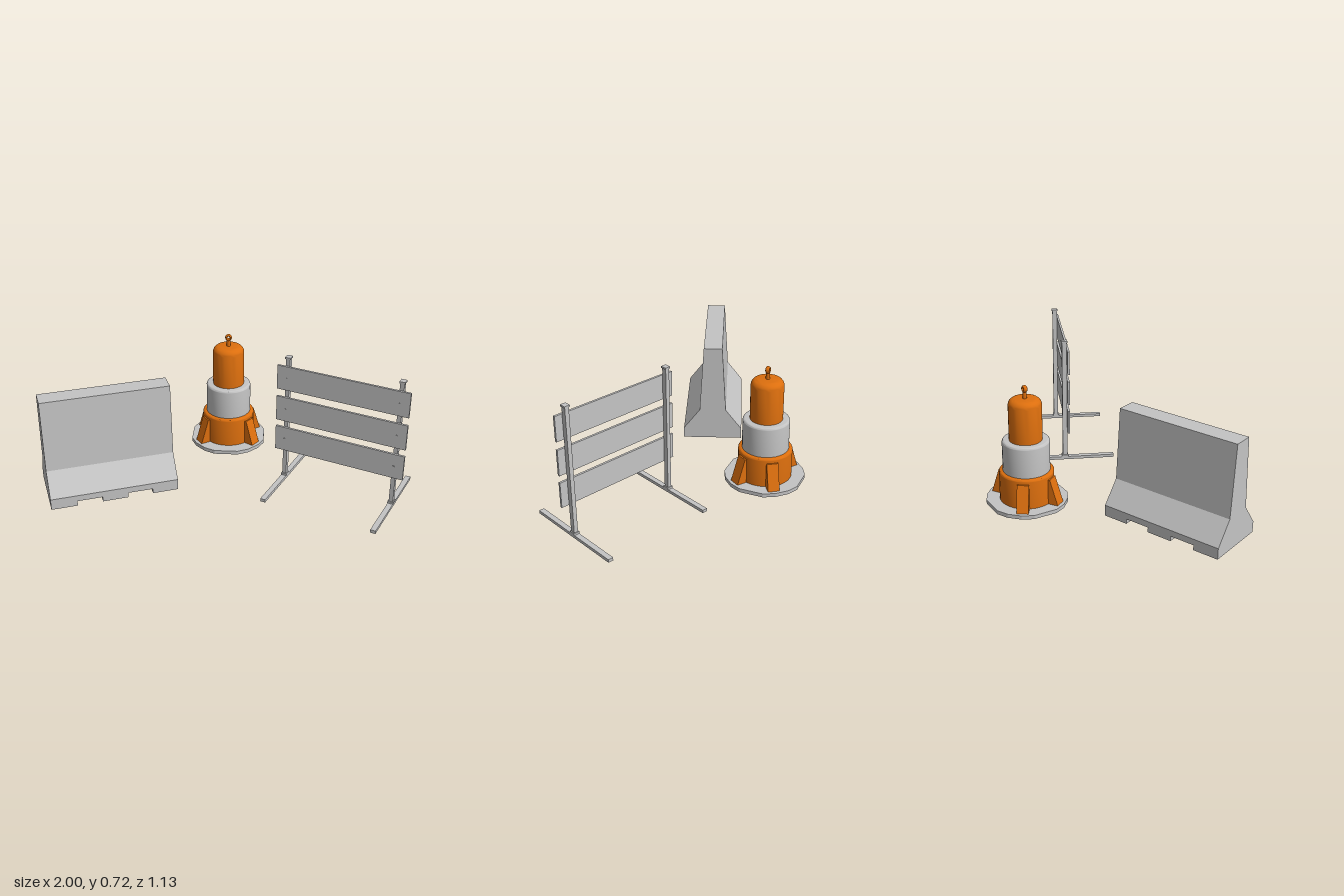
import * as THREE from 'three';
import { toCreasedNormals } from 'three/addons/utils/BufferGeometryUtils.js';

const grey = new THREE.MeshStandardMaterial({ color: 0xc4c4c4 });
grey.name = 'concreteGrey';
const orange = new THREE.MeshStandardMaterial({ color: 0xdd6f0e });
orange.name = 'safetyOrange';

function add(parent, name, geometry, material, x = 0, y = 0, z = 0) {
  const mesh = new THREE.Mesh(geometry, material);
  mesh.name = name;
  mesh.position.set(x, y, z);
  parent.add(mesh);
  return mesh;
}

// Box standing on height y0, reaching y1
function block(parent, name, w, y0, y1, d, x, z, material = grey) {
  return add(parent, name, new THREE.BoxGeometry(w, y1 - y0, d), material, x, (y0 + y1) / 2, z);
}

// Extrude an outline, centred along its depth
function slab(points, depth) {
  const shape = new THREE.Shape(points.map(([x, y]) => new THREE.Vector2(x, y)));
  const g = new THREE.ExtrudeGeometry(shape, { depth, bevelEnabled: false });
  g.translate(0, 0, -depth / 2);
  return g;
}

// Turned drum with a rounded upper rim
function drum(r, y0, y1, round) {
  const pts = [new THREE.Vector2(0, y0), new THREE.Vector2(r, y0)];
  const steps = 6;
  for (let i = 0; i <= steps; i++) {
    const a = (i / steps) * Math.PI / 2;
    pts.push(new THREE.Vector2(r - round + round * Math.cos(a), y1 - round + round * Math.sin(a)));
  }
  pts.push(new THREE.Vector2(0, y1));
  return toCreasedNormals(new THREE.LatheGeometry(pts, 32), 0.6);
}

function concreteBarrier() {
  const g = new THREE.Group();
  g.name = 'concreteBarrier';
  const length = 0.674, notchTop = 0.027;
  const half = [[0.166, notchTop], [0.166, 0.06], [0.075, 0.178], [0.052, 0.562]];
  const outline = [...half, ...half.map(([x, y]) => [-x, y]).reverse()];
  add(g, 'barrierWall', slab(outline, length), grey).rotation.y = Math.PI / 2;
  // Three feet leave two drainage slots
  for (const [a, b] of [[-0.337, -0.2], [-0.068, 0.068], [0.2, 0.337]])
    block(g, 'barrierFoot', b - a, 0, notchTop, 0.332, (a + b) / 2, 0);
  g.position.set(-0.625, 0, 0.185);
  g.rotation.y = 0.364;
  return g;
}

function trafficDrum() {
  const g = new THREE.Group();
  g.name = 'trafficDrum';
  // Base plate: a square-ish rounded polygon
  const plate = [];
  for (let q = 0; q < 4; q++)
    for (const deg of [17.5, 35, 55, 72.5]) {
      const a = THREE.MathUtils.degToRad(deg + q * 90);
      plate.push([0.217 * Math.cos(a), 0.217 * Math.sin(a)]);
    }
  add(g, 'basePlate', slab(plate, 0.021), grey, 0, 0.0145, 0).rotation.x = -Math.PI / 2;

  add(g, 'lowerDrum', drum(0.145, 0.025, 0.19, 0.012), orange);
  add(g, 'middleDrum', drum(0.125, 0.19, 0.36, 0.012), grey);
  add(g, 'upperDrum', drum(0.0875, 0.36, 0.586, 0.036), orange);

  // Four sloping buttresses
  const fin = slab([[0.1, 0.025], [0.197, 0.025], [0.152, 0.165], [0.1, 0.165]], 0.062);
  for (const a of [0.6, Math.PI - 0.6, Math.PI + 0.6, -0.6])
    add(g, 'buttress', fin, orange).rotation.y = a;

  // Lifting eye
  add(g, 'eyeStem', new THREE.CylinderGeometry(0.011, 0.011, 0.037, 16), orange, 0, 0.602, 0);
  add(g, 'liftingEye', new THREE.TorusGeometry(0.0125, 0.0065, 10, 24), orange, 0, 0.636, 0).scale.z = 1.7;
  g.position.set(-0.02, 0, -0.36);
  return g;
}

function boardBarricade() {
  const g = new THREE.Group();
  g.name = 'boardBarricade';
  const boards = [[0.182, 0.32], [0.358, 0.497], [0.54, 0.674]];
  for (const [y0, y1] of boards) block(g, 'board', 0.708, y0, y1, 0.012, 0, 0.0195);
  for (const x of [-0.302, 0.302]) {
    block(g, 'foot', 0.028, 0.003, 0.02, 0.566, x, 0);
    block(g, 'postSocket', 0.032, 0.02, 0.031, 0.036, x, 0);
    block(g, 'post', 0.022, 0.02, 0.714, 0.026, x, 0);
    block(g, 'postCap', 0.03, 0.713, 0.722, 0.034, x, 0);
    for (const [y0, y1] of boards) {
      const bolt = new THREE.CylinderGeometry(0.005, 0.005, 0.004, 10);
      add(g, 'bolt', bolt, grey, x, (y0 + y1) / 2, 0.0265).rotation.x = Math.PI / 2;
    }
  }
  g.position.set(0.594, 0, 0.178);
  g.rotation.y = -0.411;
  return g;
}

export function createModel() {
  const model = new THREE.Group();
  model.name = 'roadBarriers';
  model.add(concreteBarrier(), trafficDrum(), boardBarricade());
  return model;
}
